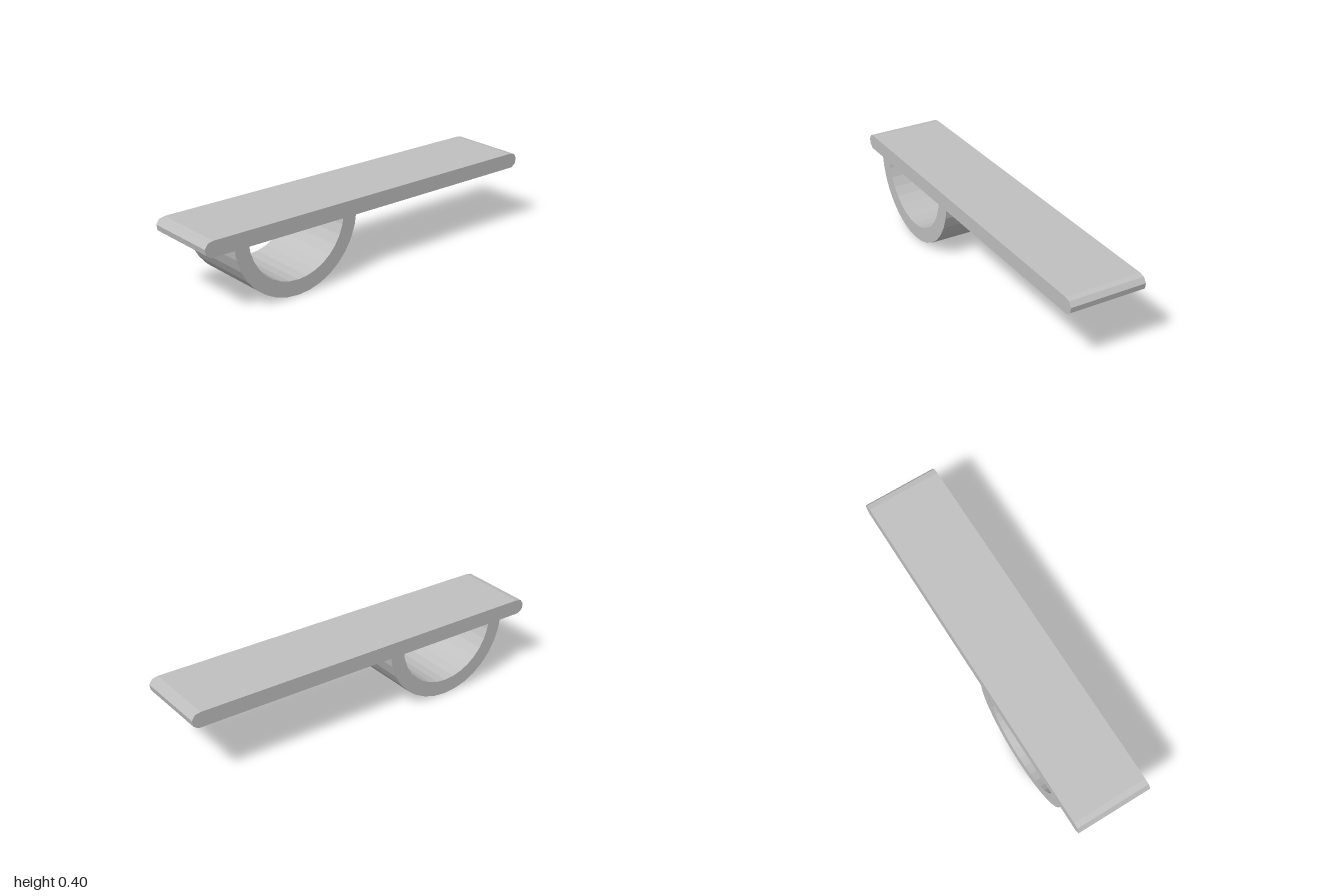
import * as THREE from 'three';

const DEPTH = 0.4;   // front to back
const MID = 0.361;   // height of the board's centre line and of the arch centre
const HALF = 0.04;   // half thickness of board and arch wall
const rad = THREE.MathUtils.degToRad;

function extrude(points, name, material) {
  const geometry = new THREE.ExtrudeGeometry(new THREE.Shape(points), { depth: DEPTH, bevelEnabled: false });
  geometry.translate(0, 0, -DEPTH / 2);
  const mesh = new THREE.Mesh(geometry, material);
  mesh.name = name;
  return mesh;
}

// Lower arc running left to right, its ends cut where it meets the board
function arc(cx, radius, cutY) {
  const points = [];
  const steps = 16, start = 3.6;
  for (let i = 0; i <= steps; i++) {
    const a = rad(180 + start + (i * (180 - 2 * start)) / steps);
    points.push(new THREE.Vector2(cx + radius * Math.cos(a), MID + radius * Math.sin(a)));
  }
  const cut = (end, next) => end.lerp(next, (cutY - end.y) / (next.y - end.y));
  cut(points[0], points[1]);
  cut(points[steps], points[steps - 1]);
  return points;
}

export function createModel() {
  const group = new THREE.Group();
  group.name = 'balanceBoard';
  const grey = new THREE.MeshStandardMaterial({ color: 0xc0c0c0, flatShading: true });
  grey.name = 'lightGrey';

  // Long flat board with faceted round ends
  const end = [-78, -33, 12, 57, 102].map((d) => new THREE.Vector2(
    0.961 + HALF * Math.cos(rad(d)), MID + HALF * Math.sin(rad(d))));
  end[0].y = MID - HALF;
  end[4].y = MID + HALF;
  const mirrored = end.map((p) => new THREE.Vector2(-p.x, p.y)).reverse();
  group.add(extrude([...end, ...mirrored], 'board', grey));

  // Half-round arch hanging below one end
  const cutY = MID - HALF;
  const outer = arc(-0.483, MID, cutY);
  const inner = arc(-0.483, MID - 2 * HALF, cutY).reverse();
  group.add(extrude([...outer, ...inner], 'arch', grey));

  return group;
}
